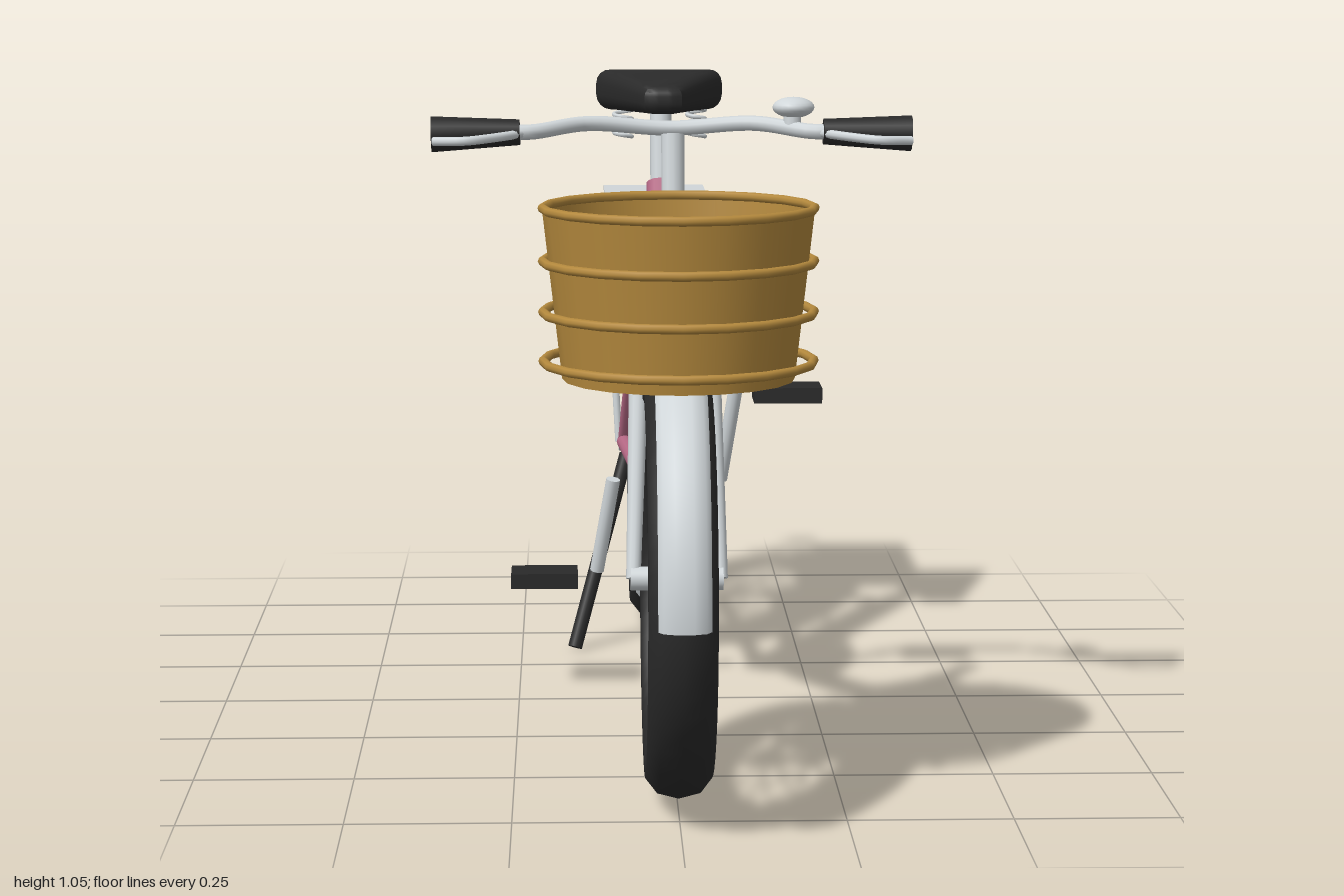
import * as THREE from 'three';
import { mergeGeometries, toCreasedNormals } from 'three/addons/utils/BufferGeometryUtils.js';

const mat = (name, color, side = THREE.FrontSide) => {
  const m = new THREE.MeshStandardMaterial({ color, side });
  m.name = name;
  return m;
};
const V = (x, y, z) => new THREE.Vector3(x, y, z);

export function createModel() {
  const pink = mat('pink paint', 0xb86a87);
  const silver = mat('silver metal', 0xd0d6d9, THREE.DoubleSide);
  const black = mat('black rubber', 0x2a2a2a);
  const wicker = mat('brown basket', 0xb4893d, THREE.DoubleSide);
  const red = mat('red lamp', 0xcc2b22);

  const model = new THREE.Group();
  model.name = 'bicycle';
  const add = (name, geo, material, parent = model) => {
    const mesh = new THREE.Mesh(geo, material);
    mesh.name = name;
    parent.add(mesh);
    return mesh;
  };
  // straight bar between two points
  const rod = (a, b, r0, r1 = r0, sides = 12) => {
    const d = b.clone().sub(a);
    const g = new THREE.CylinderGeometry(r1, r0, d.length(), sides);
    g.applyQuaternion(new THREE.Quaternion().setFromUnitVectors(V(0, 1, 0), d.normalize()));
    const c = a.clone().add(b).multiplyScalar(0.5);
    return g.translate(c.x, c.y, c.z);
  };
  const bent = (pts, r, seg = 24, sides = 10) =>
    new THREE.TubeGeometry(new THREE.CatmullRomCurve3(pts), seg, r, sides);
  // ring around the x axis; profile points are (radius, sideways offset)
  const ring = (profile, start = 0, length = Math.PI * 2, seg = 56) =>
    new THREE.LatheGeometry(profile.map(p => new THREE.Vector2(...p)), seg, start, length).rotateZ(Math.PI / 2);
  const disc = (r, x, thick, z, y) =>
    new THREE.CylinderGeometry(r, r, thick, 36).rotateZ(Math.PI / 2).translate(x, y, z);

  const AXLE = 0.345, FRONT = 0.62, REAR = -0.615;

  // wheels: tyre, rim, spokes and hub
  const makeWheel = (name, z) => {
    const g = new THREE.Group();
    g.name = name;
    g.position.set(0, AXLE, z);
    model.add(g);
    add('tyre', ring([[0.25, -0.036], [0.275, -0.05], [0.3, -0.05], [0.323, -0.032], [0.331, 0],
      [0.323, 0.032], [0.3, 0.05], [0.275, 0.05], [0.25, 0.036], [0.25, -0.036]]), black, g);
    add('rim', toCreasedNormals(ring([[0.224, -0.026], [0.254, -0.036], [0.254, 0.036], [0.224, 0.026],
      [0.224, -0.026]]), 0.5), silver, g);
    const spokes = [];
    for (let i = 0; i < 36; i++) {
      const a = i / 36 * Math.PI * 2, side = i % 2 ? 1 : -1;
      const b = a + (i % 4 < 2 ? 0.45 : -0.45);
      spokes.push(rod(V(0.035 * side, 0.027 * Math.sin(b), 0.027 * Math.cos(b)),
        V(0.01 * side, 0.228 * Math.sin(a), 0.228 * Math.cos(a)), 0.0026, 0.0026, 5));
    }
    add('spokes', mergeGeometries(spokes), silver, g);
    add('hub', mergeGeometries([disc(0.018, 0, 0.14, 0, 0), disc(0.03, 0.037, 0.012, 0, 0),
      disc(0.03, -0.037, 0.012, 0, 0)]), silver, g);
  };
  makeWheel('frontWheel', FRONT);
  makeWheel('rearWheel', REAR);

  // mudguards
  const guard = (name, r, w, z, start, length) => {
    const p = [[r - 0.018, -w], [r - 0.006, -w * 0.8], [r, -w * 0.35], [r, w * 0.35], [r - 0.006, w * 0.8], [r - 0.018, w]];
    add(name, ring(p, start, length, 40), silver).position.set(0, AXLE, z);
  };
  guard('frontMudguard', 0.38, 0.038, FRONT, 0, 1.95);
  guard('rearMudguard', 0.373, 0.043, REAR, -0.715, 3.68);

  // step-through frame
  const bb = V(0, 0.38, -0.02);
  add('headTube', rod(V(0, 0.70, 0.475), V(0, 0.90, 0.42), 0.028), pink);
  for (const s of [-1, 1]) {
    add('upperTube', bent([V(s * 0.014, 0.86, 0.425), V(s * 0.014, 0.74, 0.39), V(s * 0.014, 0.63, 0.335),
      V(s * 0.014, 0.525, 0.2), V(s * 0.014, 0.462, 0.08), V(s * 0.014, 0.41, -0.02)], 0.016), pink);
    add('seatTubeSide', rod(V(s * 0.032, 0.39, -0.03), V(s * 0.02, 0.84, -0.245), 0.018), pink);
    add('seatStay', rod(V(s * 0.025, 0.81, -0.255), V(s * 0.06, AXLE, REAR), 0.012), pink);
    add('chainStay', rod(V(s * 0.035, 0.375, -0.04), V(s * 0.06, AXLE, REAR), 0.014), pink);
  }
  add('lowerTube', bent([V(0, 0.72, 0.465), V(0, 0.64, 0.39), V(0, 0.565, 0.295), V(0, 0.465, 0.14), bb], 0.023), pink);
  add('seatTube', rod(bb, V(0, 0.865, -0.255), 0.026), pink);
  add('bottomBracket', disc(0.033, 0, 0.085, -0.02, 0.38), pink);

  // fork and headlamp
  add('forkCrown', new THREE.BoxGeometry(0.1, 0.03, 0.04).translate(0, 0.705, 0.488), silver);
  for (const s of [-1, 1])
    add('forkLeg', rod(V(s * 0.066, AXLE, FRONT), V(s * 0.053, 0.71, 0.488), 0.011, 0.016), silver);
  add('headlamp', new THREE.SphereGeometry(0.042, 20, 14).translate(0, 0.79, 0.525), silver);
  add('headlampMount', rod(V(0, 0.79, 0.45), V(0, 0.79, 0.52), 0.02, 0.036), silver);

  // handlebar, grips, levers and bell
  add('handlebarPost', rod(V(0, 0.87, 0.43), V(0, 1.0, 0.405), 0.018), silver);
  add('handlebar', bent([V(-0.27, 1.0, 0.355), V(-0.22, 1.0, 0.352), V(-0.13, 1.009, 0.295), V(0, 1.0, 0.275),
    V(0.13, 1.009, 0.295), V(0.22, 1.0, 0.352), V(0.27, 1.0, 0.355)], 0.012, 40), silver);
  for (const s of [-1, 1]) {
    add('grip', rod(V(s * 0.237, 1.0, 0.354), V(s * 0.375, 0.997, 0.354), 0.02, 0.028), black);
    add('brakeLever', bent([V(s * 0.235, 0.998, 0.36), V(s * 0.275, 0.995, 0.4), V(s * 0.32, 0.992, 0.428),
      V(s * 0.37, 0.99, 0.41)], 0.007, 16, 8), silver);
  }
  add('bell', new THREE.SphereGeometry(0.033, 20, 12).scale(1, 0.5, 1).translate(0.192, 1.036, 0.325), silver);
  add('bellMount', rod(V(0.19, 1.003, 0.33), V(0.19, 1.032, 0.327), 0.014), silver);

  // saddle: rounded wedge, thinner toward the nose
  const s = new THREE.Shape();
  s.moveTo(-0.112, -0.387);
  s.lineTo(0.112, -0.387);
  s.quadraticCurveTo(0.07, -0.26, 0.032, -0.112);
  s.quadraticCurveTo(0, -0.098, -0.032, -0.112);
  s.quadraticCurveTo(-0.07, -0.26, -0.112, -0.387);
  const seat = new THREE.ExtrudeGeometry(s, { depth: 0.02, bevelThickness: 0.026, bevelSize: 0.022,
    bevelOffset: -0.022, bevelSegments: 4, curveSegments: 8 }).rotateX(Math.PI / 2);
  const p = seat.attributes.position;
  for (let i = 0; i < p.count; i++) {
    const t = (p.getZ(i) + 0.387) / 0.287;
    p.setY(i, 1.021 + (p.getY(i) + 0.01) * (1 - 0.35 * t) - 0.003 * t);
  }
  add('saddle', toCreasedNormals(seat, 0.7), black);
  add('seatPost', rod(V(0, 0.85, -0.248), V(0, 1.0, -0.283), 0.019), silver);
  for (const side of [-1, 1]) {
    const coil = [];
    for (let i = 0; i <= 32; i++) {
      const a = i / 32 * Math.PI * 7;
      coil.push(V(side * 0.065 + 0.016 * Math.cos(a), 0.938 + 0.055 * i / 32, -0.36 + 0.016 * Math.sin(a)));
    }
    add('saddleSpring', bent(coil, 0.004, 90, 6), silver);
  }

  // luggage rack and tail lamp
  add('rack', new THREE.BoxGeometry(0.19, 0.009, 0.425).translate(0, 0.806, -0.596), silver);
  for (const side of [-1, 1])
    add('rackStrut', bent([V(side * 0.09, 0.806, -0.655), V(side * 0.085, 0.64, -0.65), V(side * 0.07, AXLE, REAR)], 0.007), silver);
  add('tailLamp', new THREE.SphereGeometry(0.03, 20, 12).scale(1.25, 0.88, 0.45).translate(0, 0.585, -0.986), red);

  // chain drive
  add('chainring', disc(0.112, 0.077, 0.01, -0.02, 0.38), silver);
  add('sprocket', disc(0.058, 0.077, 0.012, REAR, AXLE), silver);
  add('upperChain', rod(V(0.077, 0.492, -0.03), V(0.077, 0.404, REAR), 0.006, 0.006, 8), black);
  add('lowerChain', bent([V(0.077, 0.27, -0.02), V(0.077, 0.275, -0.3), V(0.077, 0.28, -0.48), V(0.077, 0.288, REAR)], 0.006, 20, 8), black);

  // cranks and pedals
  add('leftCrank', rod(V(0.094, 0.38, -0.02), V(0.119, 0.545, 0.012), 0.012), silver);
  add('rightCrank', rod(V(-0.088, 0.38, -0.025), V(-0.116, 0.215, -0.058), 0.012), silver);
  const pedal = new THREE.BoxGeometry(0.114, 0.026, 0.075);
  add('leftPedal', pedal, black).position.set(0.205, 0.534, 0.012);
  add('rightPedal', pedal, black).position.set(-0.206, 0.202, -0.065);

  // kickstand
  add('kickstand', rod(V(-0.058, 0.345, -0.475), V(-0.154, 0.008, -0.362), 0.013), black);

  // basket: open tapered wall, floor and four hoops
  const basket = new THREE.Group();
  basket.name = 'basket';
  basket.position.set(0, 0, 0.688);
  model.add(basket);
  add('basketWall', new THREE.CylinderGeometry(0.201, 0.172, 0.256, 20, 1, true).translate(0, 0.79, 0), wicker, basket);
  add('basketFloor', new THREE.CylinderGeometry(0.172, 0.172, 0.008, 20).translate(0, 0.676, 0), wicker, basket);
  for (const y of [0.914, 0.836, 0.761, 0.688])
    add('basketHoop', new THREE.TorusGeometry(0.2, 0.007, 8, 20).rotateX(Math.PI / 2).translate(0, y, 0), wicker, basket);

  return model;
}
